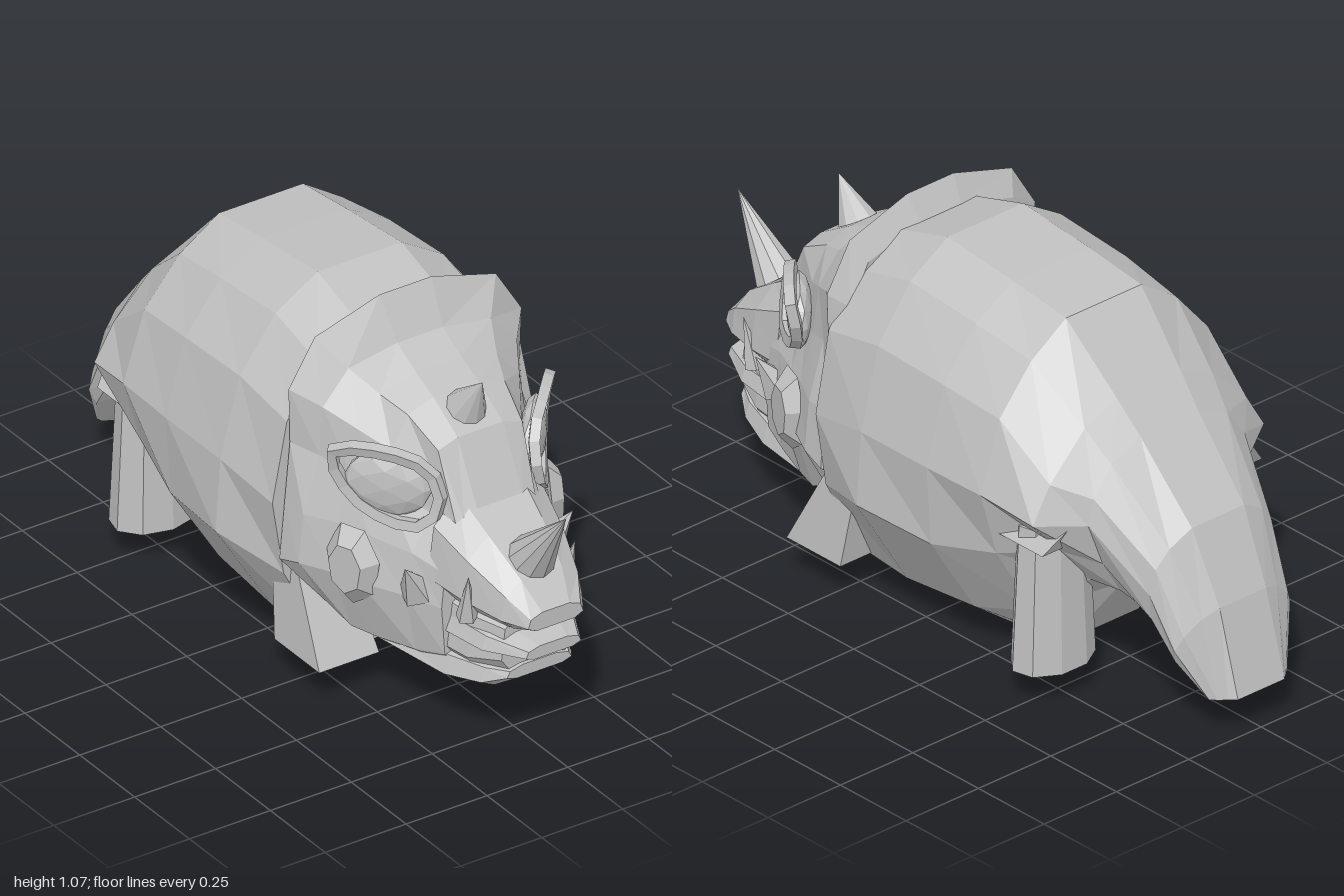
import * as THREE from 'three';

const grey = new THREE.MeshStandardMaterial({ color: 0xc0c0c0, flatShading: true });
grey.name = 'stone grey';

// Faceted mesh with split vertices
function part(group, name, geometry) {
  const g = geometry.index ? geometry.toNonIndexed() : geometry;
  g.computeVertexNormals();
  const mesh = new THREE.Mesh(g, grey);
  mesh.name = name;
  group.add(mesh);
}

// Adds a part on the left (+x) and its mirror image on the right
function pair(group, name, geometry) {
  const left = geometry.index ? geometry.toNonIndexed() : geometry;
  const right = left.clone().scale(-1, 1, 1);
  const p = right.attributes.position;
  const a = new THREE.Vector3(), b = new THREE.Vector3();
  for (let i = 0; i < p.count; i += 3) {
    a.fromBufferAttribute(p, i + 1);
    b.fromBufferAttribute(p, i + 2);
    p.setXYZ(i + 1, b.x, b.y, b.z);
    p.setXYZ(i + 2, a.x, a.y, a.z);
  }
  part(group, name + 'Left', left);
  part(group, name + 'Right', right);
}

// Symmetric skin over half sections, back to front; dz leans a section from top to bottom
function loft(sections) {
  const pos = [], index = [];
  for (const { z, dz = 0, half } of sections) {
    const n = half.length - 1;
    const left = half.map(([x, y], i) => [x, y, z + dz * i / n]);
    const right = left.map(([x, y, d]) => [-x, y, d]).reverse();
    for (const v of [...left, ...right]) pos.push(...v);
  }
  const n = sections[0].half.length * 2, last = (sections.length - 1) * n;
  for (let s = 0; s < sections.length - 1; s++) {
    for (let j = 0; j < n; j++) {
      const a = s * n + j, b = s * n + (j + 1) % n;
      index.push(a, a + n, b, b, a + n, b + n);
    }
  }
  for (let j = 1; j < n - 1; j++) {
    index.push(0, j, j + 1, last, last + j + 1, last + j);
  }
  const g = new THREE.BufferGeometry();
  g.setAttribute('position', new THREE.Float32BufferAttribute(pos, 3));
  g.setIndex(index);
  return g;
}

// Bevelled bar for snout, lips and jaw: rows of [z, half width, top, bottom]
function bar(rows) {
  return loft(rows.map(([z, w, t, b]) => ({
    z, half: [[w * 0.5, t], [w * 0.9, t - (t - b) * 0.25], [w, b + (t - b) * 0.25], [w * 0.7, b]],
  })));
}

// Cone from a base point to a tip
function horn(base, tip, radius, sides) {
  const a = new THREE.Vector3(...base), d = new THREE.Vector3(...tip).sub(a);
  const h = d.length();
  const q = new THREE.Quaternion().setFromUnitVectors(new THREE.Vector3(0, 1, 0), d.normalize());
  return new THREE.ConeGeometry(radius, h, sides).translate(0, h / 2, 0)
    .applyQuaternion(q).translate(...base);
}

// Box whose top and bottom faces are set by [x0, x1, y, z0, z1]
function block(top, bottom) {
  const g = new THREE.BoxGeometry(1, 1, 1), p = g.attributes.position;
  for (let i = 0; i < p.count; i++) {
    const [x0, x1, y, z0, z1] = p.getY(i) > 0 ? top : bottom;
    p.setXYZ(i, p.getX(i) > 0 ? x1 : x0, y, p.getZ(i) > 0 ? z1 : z0);
  }
  return g;
}

export function createModel() {
  const model = new THREE.Group();
  model.name = 'hornedBeast';

  // Body and drooping tail
  part(model, 'bodyAndTail', loft([
    { z: -1, dz: 0.1, half: [[.08, .11], [.1, .11], [.12, .11], [.135, .11], [.13, .11], [.1, .11], [.06, .11]] },
    { z: -.93, dz: 0.08, half: [[.08, .35], [.13, .33], [.18, .29], [.2, .25], [.185, .21], [.12, .18], [.06, .17]] },
    { z: -.835, dz: 0.05, half: [[.09, .55], [.16, .51], [.2, .46], [.215, .39], [.2, .31], [.14, .27], [.06, .25]] },
    { z: -.65, half: [[.1, .745], [.2, .7], [.26, .62], [.28, .55], [.23, .42], [.17, .32], [.08, .28]] },
    { z: -.57, half: [[.11, .83], [.22, .78], [.34, .66], [.4, .56], [.3, .45], [.2, .33], [.09, .28]] },
    { z: -.4, half: [[.13, 1], [.25, .92], [.36, .79], [.425, .59], [.37, .4], [.24, .18], [.12, .05]] },
    { z: -.2, half: [[.13, 1.025], [.26, .95], [.37, .81], [.43, .59], [.415, .36], [.265, .12], [.13, .02]] },
    { z: .05, half: [[.13, 1.05], [.26, .97], [.37, .82], [.43, .59], [.445, .38], [.27, .1], [.13, 0]] },
    { z: .25, half: [[.13, .99], [.26, .92], [.36, .78], [.405, .55], [.37, .33], [.25, .1], [.13, .04]] },
  ]));

  // Hind legs, slightly tapered, under a sharp fold of the hip
  pair(model, 'hindLeg', new THREE.CylinderGeometry(.075, .09, .42, 9)
    .scale(1.4, 1, 1).translate(.265, .305, -.497));
  pair(model, 'hip', block([.15, .3, .565, -.63, -.5], [.18, .38, .47, -.585, -.42]));

  // Front legs: blocks stepping forward and flaring at the foot
  pair(model, 'frontLeg', block([.2, .345, .36, .16, .27], [.18, .365, .107, .2, .405]));

  const head = new THREE.Group();
  head.name = 'head';
  model.add(head);

  // Skull sweeping up into a neck frill
  part(head, 'skullAndFrill', loft([
    { z: .22, half: [[.07, 1], [.25, .95], [.31, .84], [.31, .7], [.33, .55], [.34, .4], [.27, .34], [.14, .3]] },
    { z: .26, dz: -.01, half: [[.08, 1.07], [.28, 1.01], [.36, .88], [.355, .72], [.37, .55], [.385, .38], [.3, .32], [.15, .28]] },
    { z: .325, half: [[.07, .955], [.22, .93], [.3, .84], [.31, .7], [.36, .54], [.375, .4], [.3, .27], [.14, .23]] },
    { z: .41, half: [[.07, .91], [.18, .88], [.25, .8], [.27, .67], [.31, .54], [.33, .4], [.27, .22], [.13, .18]] },
    { z: .49, half: [[.07, .875], [.15, .85], [.2, .76], [.22, .66], [.27, .53], [.3, .4], [.24, .215], [.13, .17]] },
    { z: .6, half: [[.07, .81], [.13, .79], [.14, .71], [.15, .61], [.21, .51], [.23, .39], [.2, .22], [.12, .165]] },
    { z: .69, half: [[.07, .64], [.11, .62], [.13, .59], [.14, .54], [.17, .48], [.18, .38], [.17, .24], [.11, .17]] },
  ]));

  // Snout, stacked lips and lower jaw
  part(head, 'snout', bar([[.64, .19, .67, .38], [.76, .165, .6, .38], [.88, .125, .52, .385], [.945, .085, .45, .4]]));
  part(head, 'mouthCore', bar([[.6, .18, .46, .2], [.76, .15, .44, .2], [.86, .11, .42, .24]]));
  part(head, 'middleLip', bar([[.62, .18, .375, .29], [.82, .145, .365, .29], [.935, .085, .345, .31]]));
  part(head, 'lowerJaw', bar([[.42, .24, .28, .18], [.7, .18, .265, .165], [.81, .14, .265, .185], [.87, .1, .26, .225]]));

  // Horns on nose and brow
  part(head, 'noseHorn', horn([0, .545, .835], [-.005, .745, 1], .065, 10));
  part(head, 'browHorn', horn([0, .835, .53], [0, .955, .61], .06, 10));

  // Shallow eyes in angular sockets, turned outward
  pair(head, 'eye', new THREE.IcosahedronGeometry(1, 1).scale(.12, .095, .035)
    .rotateY(.86).translate(.225, .68, .51));
  const rim = new THREE.CatmullRomCurve3([
    [.335, .77, .42], [.24, .785, .53], [.16, .74, .61], [.15, .65, .64],
    [.19, .585, .6], [.27, .61, .48], [.315, .69, .42],
  ].map((v) => new THREE.Vector3(...v)), true);
  pair(head, 'eyeSocket', new THREE.TubeGeometry(rim, 14, .02, 4, true));

  // Flat cheek plates and small facial spikes
  pair(head, 'cheek', new THREE.CylinderGeometry(.06, .1, .04, 7).rotateX(Math.PI / 2)
    .scale(.85, 1.2, 1).rotateY(1.2).translate(.315, .44, .465));
  pair(head, 'cheekSpike', horn([.2, .4, .61], [.26, .5, .64], .05, 5));
  pair(head, 'lipTusk', horn([.15, .38, .76], [.165, .52, .79], .03, 5));

  return model;
}
